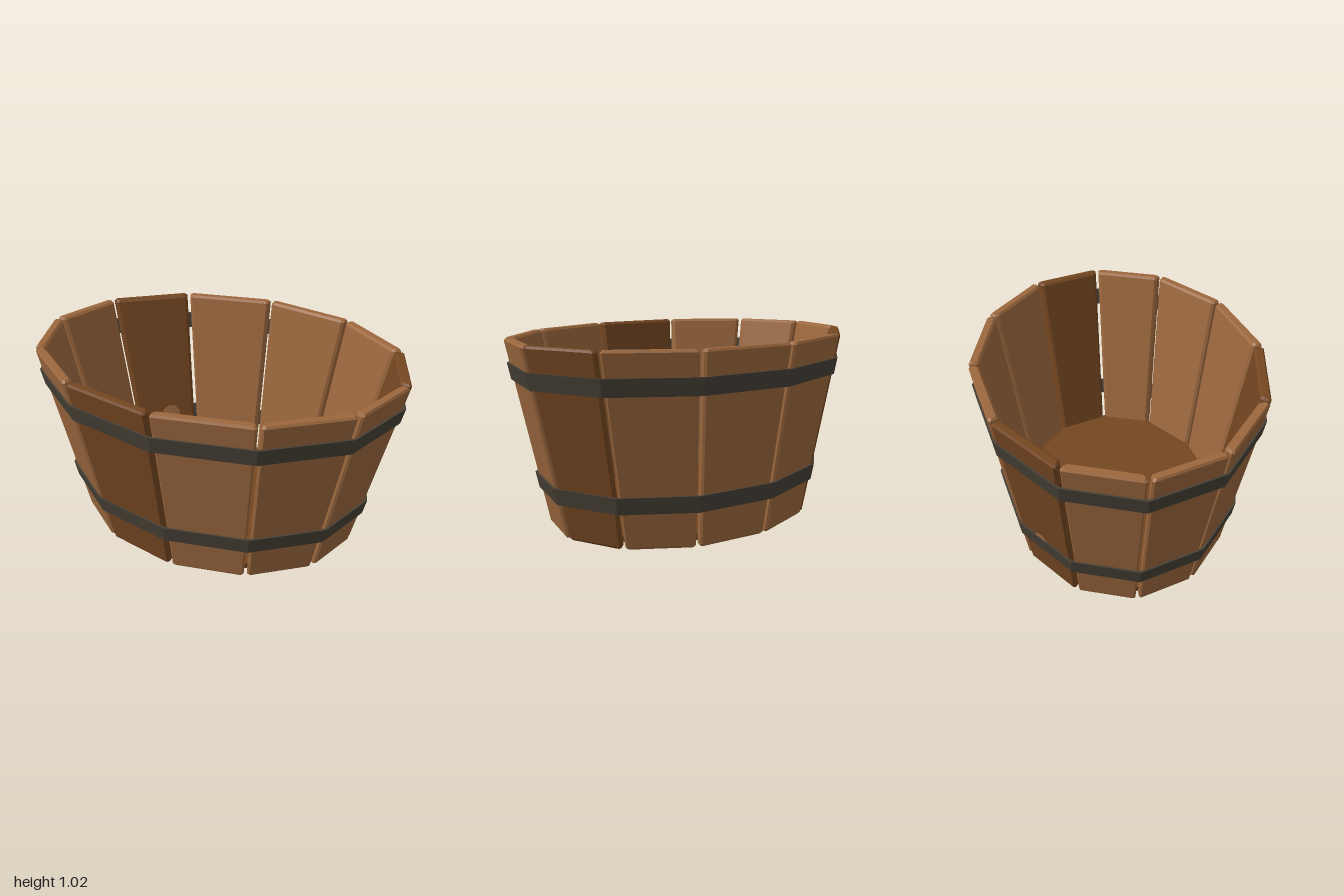
import * as THREE from 'three';

const N = 12, HEIGHT = 1.025, THICK = 0.055, GAP = 0.01, BEVEL = 0.012;

// Corners of the skewed oval at height y, moved inward by off (mitred)
function ring(y, off = 0) {
  const t = y / HEIGHT, sx = 0.772 + 0.228 * t, sz = 0.792 + 0.208 * t;
  const pts = [];
  for (let k = 0; k < N; k++) {
    const a = (k / N) * Math.PI * 2, c = Math.cos(a), s = Math.sin(a);
    pts.push(new THREE.Vector2((1.003 * c + 0.25 * s) * sx, (-0.055 * c + 0.834 * s) * sz));
  }
  const normal = (a, b) => new THREE.Vector2(a.y - b.y, b.x - a.x).normalize();
  return pts.map((p, k) => {
    const n1 = normal(pts[(k + N - 1) % N], p), n2 = normal(p, pts[(k + 1) % N]);
    const m = n1.clone().add(n2).multiplyScalar(off / (1 + n1.dot(n2)));
    return new THREE.Vector3(p.x + m.x, y, p.y + m.y);
  });
}

// Flat-faced skin through a list of equal-length loops
function loft(loops, caps = true) {
  const v = [];
  const tri = (...ps) => ps.forEach((p) => v.push(p.x, p.y, p.z));
  for (let j = 0; j < loops.length - 1; j++) {
    const lo = loops[j], hi = loops[j + 1];
    lo.forEach((a, i) => {
      const n = (i + 1) % lo.length;
      tri(a, hi[i], hi[n]);
      tri(a, hi[n], lo[n]);
    });
  }
  if (caps) {
    const b = loops[0], t = loops[loops.length - 1];
    for (let i = 1; i < b.length - 1; i++) {
      tri(b[0], b[i], b[i + 1]);
      tri(t[0], t[i + 1], t[i]);
    }
  }
  const g = new THREE.BufferGeometry();
  g.setAttribute('position', new THREE.Float32BufferAttribute(v, 3));
  g.computeVertexNormals();
  return g;
}

// Point at distance d from a towards b
const toward = (a, b, d) => a.clone().add(b.clone().sub(a).normalize().multiplyScalar(d));

// Bevelled cross-section of stave k at height y
function section(k, y, inset) {
  const o = ring(y, inset), i = ring(y, THICK - inset), n = (k + 1) % N, g = GAP + inset;
  const quad = [
    toward(o[k], o[n], g), toward(o[n], o[k], g),
    toward(i[n], i[k], g), toward(i[k], i[n], g),
  ];
  return quad.flatMap((p, q) => [
    toward(p, quad[(q + 3) % 4], BEVEL), toward(p, quad[(q + 1) % 4], BEVEL),
  ]);
}

export function createModel() {
  const lightWood = new THREE.MeshStandardMaterial({ color: 0x9c683e });
  lightWood.name = 'light wood';
  const darkWood = new THREE.MeshStandardMaterial({ color: 0x744621 });
  darkWood.name = 'dark wood';
  const iron = new THREE.MeshStandardMaterial({ color: 0x464036 });
  iron.name = 'dark iron';

  const model = new THREE.Group();
  model.name = 'woodenTub';
  const add = (name, geometry, material) => {
    const mesh = new THREE.Mesh(geometry, material);
    mesh.name = name;
    model.add(mesh);
    return mesh;
  };

  // Staves, every fourth one darker
  for (let k = 0; k < N; k++) {
    const loops = [
      section(k, 0, BEVEL * 0.6), section(k, BEVEL, 0),
      section(k, HEIGHT - BEVEL, 0), section(k, HEIGHT, BEVEL * 0.8),
    ];
    add('stave' + (k + 1), loft(loops), k % 4 === 0 ? darkWood : lightWood);
  }

  // Floor board
  add('floor', loft([ring(0.025, 0.045), ring(0.06, 0.045)]), darkWood);

  // Iron hoops
  const hoop = (name, y0, y1) => {
    const outer = -0.01, inner = 0.004;
    add(name, loft([
      ring(y0, outer), ring(y1, outer), ring(y1, inner), ring(y0, inner), ring(y0, outer),
    ], false), iron);
  };
  hoop('lowerHoop', 0.2, 0.29);
  hoop('upperHoop', 0.805, 0.895);

  // Wood knot through one dark stave, mostly behind the lower hoop
  const y = 0.26, a = ring(y, THICK / 2)[8], b = ring(y, THICK / 2)[9];
  const out = new THREE.Vector3(b.z - a.z, 0, a.x - b.x).normalize();
  out.y = -0.2;
  const knot = add('knot', new THREE.CylinderGeometry(0.06, 0.06, THICK + 0.006, 8), lightWood);
  knot.position.lerpVectors(a, b, 0.58);
  knot.quaternion.setFromUnitVectors(new THREE.Vector3(0, 1, 0), out.normalize());

  return model;
}
